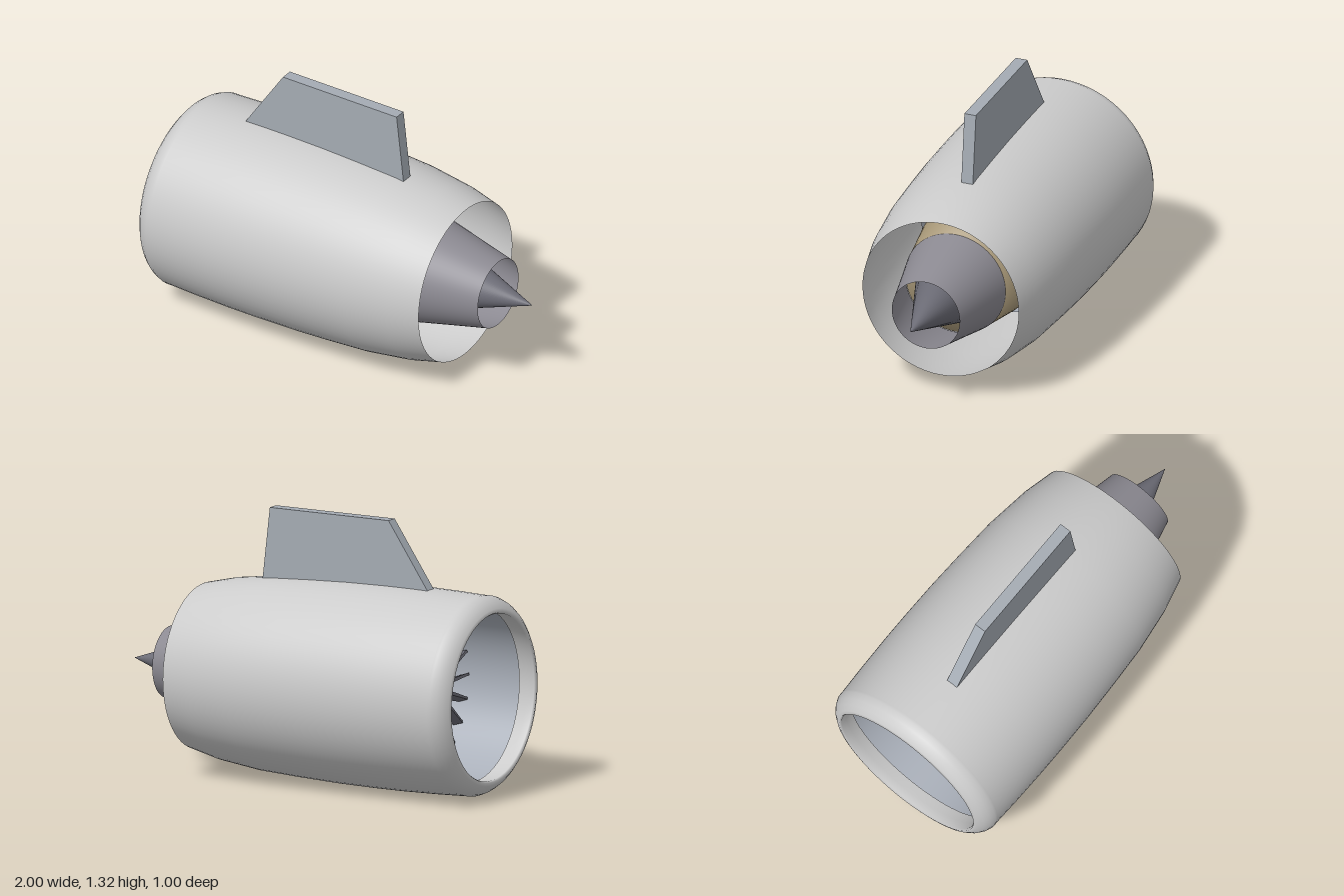
import * as THREE from 'three';

const CENTRE_Y = 0.5;
const mat = (color) => new THREE.MeshStandardMaterial({ color, side: THREE.DoubleSide });

export function createModel() {
  const root = new THREE.Group();
  const shellMat = mat(0xcccccc);
  const linerMat = mat(0xaab0ba);
  const darkMat = mat(0x6c6c76);
  const nozzleMat = mat(0x8c8a92);
  const coreMat = mat(0xa89878);
  const pylonMat = mat(0xa4abb3);

  // Everything round turns about the engine axis: profile is [x, radius]
  const revolve = (name, profile, material) => {
    const points = profile.map(([x, r]) => new THREE.Vector2(r, x));
    const mesh = new THREE.Mesh(new THREE.LatheGeometry(points, 64), material);
    mesh.name = name;
    mesh.rotation.z = -Math.PI / 2;
    mesh.position.y = CENTRE_Y;
    root.add(mesh);
    return mesh;
  };

  // Outer cowling with a thin trailing edge
  revolve('cowling', [
    [-0.91, 0.488], [-0.75, 0.494], [-0.55, 0.498], [-0.4, 0.498], [-0.2, 0.495],
    [0.0, 0.487], [0.22, 0.475], [0.45, 0.445], [0.61, 0.407],
  ], shellMat);

  // Rounded intake lip, rolled inwards
  revolve('intakeLip', [
    [-0.9, 0.42], [-0.95, 0.412], [-0.99, 0.408], [-1, 0.415], [-0.995, 0.432],
    [-0.975, 0.458], [-0.95, 0.477], [-0.92, 0.489], [-0.9, 0.488],
  ], shellMat);

  // Duct lining around the fan
  revolve('intakeLiner', [[-0.91, 0.43], [-0.5, 0.425], [-0.2, 0.43]], linerMat);

  // Fan hub and spinner
  revolve('spinner', [
    [-0.74, 0], [-0.735, 0.03], [-0.715, 0.065], [-0.68, 0.1], [-0.64, 0.12], [-0.54, 0.13], [-0.54, 0],
  ], darkMat);

  // One tapered, twisted blade standing on the hub
  const blade = new THREE.BoxGeometry(1, 1, 1, 1, 4, 1);
  const p = blade.attributes.position;
  for (let i = 0; i < p.count; i++) {
    const t = p.getY(i) + 0.5;
    const chord = p.getX(i) * THREE.MathUtils.lerp(0.12, 0.05, t);
    const thick = p.getZ(i) * THREE.MathUtils.lerp(0.022, 0.012, t);
    const a = THREE.MathUtils.lerp(0.2, 0.32, t);
    p.setXYZ(i, chord * Math.cos(a) - thick * Math.sin(a), 0.11 + 0.305 * t,
      chord * Math.sin(a) + thick * Math.cos(a));
  }
  blade.computeVertexNormals();

  const fan = new THREE.Group();
  fan.name = 'fan';
  fan.position.set(-0.6, CENTRE_Y, 0);
  const bladeCount = 22;
  for (let i = 0; i < bladeCount; i++) {
    const mesh = new THREE.Mesh(blade, darkMat);
    mesh.name = 'fanBlade';
    mesh.rotation.x = Math.PI / 2 + (i * 2 * Math.PI) / bladeCount;
    fan.add(mesh);
  }
  root.add(fan);

  // Core casing, exhaust nozzle and tail cone
  revolve('coreCasing', [
    [-0.5, 0], [-0.5, 0.3], [-0.35, 0.323], [-0.1, 0.325], [0.15, 0.305], [0.42, 0.26], [0.42, 0],
  ], coreMat);
  revolve('exhaustNozzle', [[0.42, 0.262], [0.61, 0.219], [0.8, 0.177]], nozzleMat);
  revolve('tailCone', [[0.5, 0], [0.5, 0.175], [1, 0]], darkMat);

  // Mounting pylon on top
  const outline = new THREE.Shape([
    [-0.65, 0.99], [-0.65, 0.985], [0.27, 0.968], [0.23, 1.32], [-0.43, 1.32],
  ].map(([x, y]) => new THREE.Vector2(x, y)));
  const pylonGeo = new THREE.ExtrudeGeometry(outline, { depth: 0.06, bevelEnabled: false });
  pylonGeo.translate(0, 0, -0.03);
  const pylon = new THREE.Mesh(pylonGeo, pylonMat);
  pylon.name = 'pylon';
  root.add(pylon);

  return root;
}
